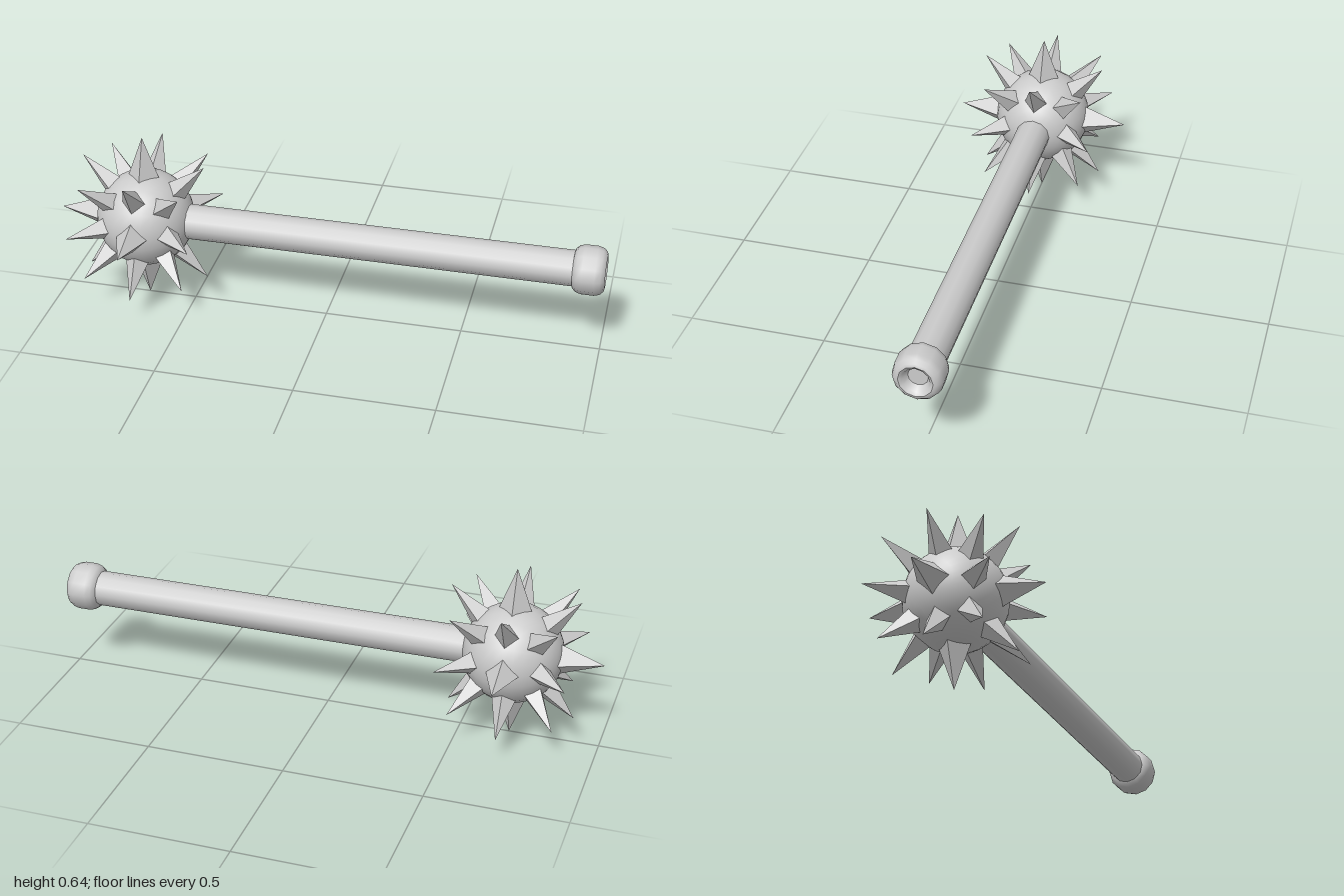
import * as THREE from 'three';

const REACH = 0.322;                                   // head centre to spike tip
const CENTRE = new THREE.Vector3(-1 + REACH, REACH, 0);

// Lathe turned about the x axis; points are [x, radius]
function turned(name, points, material) {
  const profile = points.map(([x, r]) => new THREE.Vector2(r, x));
  const geometry = new THREE.LatheGeometry(profile, 12);
  geometry.rotateZ(-Math.PI / 2);
  const mesh = new THREE.Mesh(geometry, material);
  mesh.name = name;
  mesh.position.y = REACH;
  return mesh;
}

// Four-sided spike pointing along dir, its root buried in the ball
function spike(dir, slope, turn, material) {
  const root = 0.1, height = REACH - root;
  const geometry = new THREE.ConeGeometry(height * slope, height, 4, 1, true);
  geometry.rotateY(turn);
  geometry.translate(0, root + height / 2, 0);
  const d = dir.clone().normalize();
  const ref = Math.abs(d.x) > 0.9 ? new THREE.Vector3(0, 1, 0) : new THREE.Vector3(1, 0, 0);
  const u = ref.addScaledVector(d, -ref.dot(d)).normalize();
  const w = new THREE.Vector3().crossVectors(u, d);
  geometry.applyMatrix4(new THREE.Matrix4().makeBasis(u, d, w));
  const mesh = new THREE.Mesh(geometry, material);
  mesh.name = 'spike';
  return mesh;
}

export function createModel() {
  const smooth = new THREE.MeshStandardMaterial({ color: 0xcccccc });
  const flat = new THREE.MeshStandardMaterial({ color: 0xcccccc, flatShading: true });
  const model = new THREE.Group();
  model.name = 'spikedMace';

  // Ball with spikes in every axis, edge and corner direction but the handle's
  const head = new THREE.Group();
  head.name = 'head';
  head.position.copy(CENTRE);
  const ballGeometry = new THREE.SphereGeometry(0.178, 24, 16);
  ballGeometry.rotateZ(Math.PI / 2);
  const ball = new THREE.Mesh(ballGeometry, smooth);
  ball.name = 'ball';
  head.add(ball);
  for (let x = -1; x <= 1; x++)
    for (let y = -1; y <= 1; y++)
      for (let z = -1; z <= 1; z++) {
        const kind = Math.abs(x) + Math.abs(y) + Math.abs(z);
        if (kind === 0 || (kind === 1 && x === 1)) continue;
        const slope = kind === 1 ? 0.37 : 0.28;
        const turn = kind === 3 ? Math.PI / 4 : 0;
        head.add(spike(new THREE.Vector3(x, y, z), slope, turn, flat));
      }
  model.add(head);

  // Shaft
  model.add(turned('handle', [[-0.56, 0.064], [0.91, 0.064]], smooth));

  // Rounded pommel with a recessed end
  model.add(turned('pommel', [
    [0.885, 0.06], [0.888, 0.07], [0.9, 0.082], [0.92, 0.0875], [0.965, 0.0875],
    [0.985, 0.082], [0.997, 0.07], [1, 0.059],
  ], smooth));
  model.add(turned('pommelRecess', [[1, 0.059], [0.992, 0.047], [0.97, 0.034]], smooth));
  model.add(turned('recessFloor', [[0.97, 0.034], [0.97, 0]], smooth));

  return model;
}
